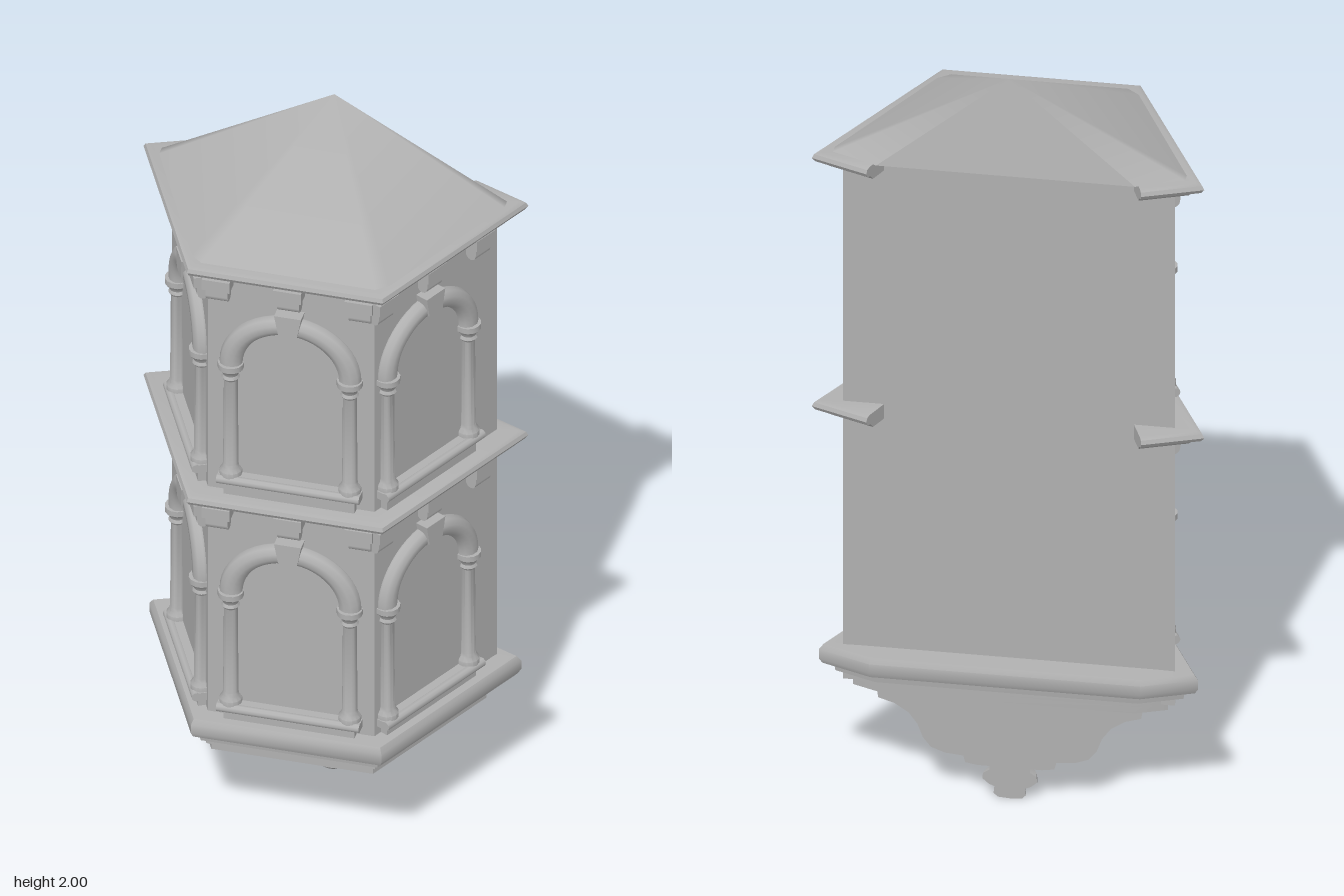
import * as THREE from 'three';
import { toCreasedNormals } from 'three/addons/utils/BufferGeometryUtils.js';

const stone = new THREE.MeshStandardMaterial({ color: 0xb0b0b0, side: THREE.DoubleSide });
stone.name = 'grey stone';

function add(parent, name, geometry, x = 0, y = 0, z = 0) {
  const mesh = new THREE.Mesh(geometry, stone);
  mesh.name = name;
  mesh.position.set(x, y, z);
  parent.add(mesh);
  return mesh;
}

// Bay outline, offset outwards from the wall by d, running from left-back to right-back
function bayPlan(d) {
  const half = [
    [0.317 + 0.38 * d, -0.22 - 0.924 * d],
    [0.403 + 1.37 * d, -0.184 - 0.517 * d],
    [0.21 + 0.623 * d, 0.21 + d],
  ];
  return [...half.map(([x, z]) => [-x, z]), ...half.reverse()];
}
const wallPlan = () => [[-0.41, -0.2], [-0.21, 0.21], [0.21, 0.21], [0.41, -0.2]];

// Sweeps a profile of [offset, height] around a plan; closed makes a solid slab, open an L-ended moulding
function sweep(plan, profile, closed) {
  const rings = profile.map(([d, y]) => plan(d).map(([x, z]) => [x, y, z]));
  const n = rings[0].length, m = rings.length, out = [];
  const tri = (...points) => points.forEach((p) => out.push(...p));
  for (let j = 0; j < (closed ? m - 1 : m); j++) {
    const lo = rings[j], hi = rings[(j + 1) % m];
    for (let i = 0; i < (closed ? n : n - 1); i++) {
      const k = (i + 1) % n;
      tri(lo[i], lo[k], hi[k]);
      tri(lo[i], hi[k], hi[i]);
    }
  }
  if (closed) {
    for (let i = 1; i < n - 1; i++) {
      tri(rings[0][0], rings[0][i + 1], rings[0][i]);
      tri(rings[m - 1][0], rings[m - 1][i], rings[m - 1][i + 1]);
    }
  } else {
    for (let j = 1; j < m - 1; j++) {
      tri(rings[0][0], rings[j][0], rings[j + 1][0]);
      tri(rings[0][n - 1], rings[j + 1][n - 1], rings[j][n - 1]);
    }
  }
  const geometry = new THREE.BufferGeometry();
  geometry.setAttribute('position', new THREE.Float32BufferAttribute(out, 3));
  return toCreasedNormals(geometry, 0.6);
}

// One arched window surround with sill, columns, keystone and corbels; y = 0 is the sill's underside
function archedWindow() {
  const g = new THREE.Group();
  g.name = 'archedWindow';
  add(g, 'sillBlock', new THREE.BoxGeometry(0.33, 0.045, 0.03), 0, -0.015, 0.005);
  add(g, 'sill', new THREE.BoxGeometry(0.36, 0.022, 0.06), 0, 0.017, 0);
  add(g, 'sillLip', new THREE.CylinderGeometry(0.012, 0.012, 0.36, 10), 0, 0.018, 0.027).rotation.z = Math.PI / 2;
  const columnProfile = [
    [0.028, 0.025], [0.028, 0.04], [0.021, 0.05], [0.019, 0.06], [0.017, 0.31],
    [0.023, 0.318], [0.019, 0.326], [0.022, 0.334], [0.032, 0.345], [0.032, 0.36], [0, 0.36],
  ].map(([r, y]) => new THREE.Vector2(r, y));
  const column = toCreasedNormals(new THREE.LatheGeometry(columnProfile, 14), 0.7);
  for (const s of [-1, 1]) add(g, 'column', column, s * 0.15, 0, 0.008);
  add(g, 'arch', new THREE.TorusGeometry(0.15, 0.029, 10, 24, Math.PI), 0, 0.36, 0.006).scale.set(1, 0.9, 0.85);
  // Keystone, wider at the top
  const wedge = new THREE.Shape([[-0.024, 0], [0.024, 0], [0.034, 0.055], [-0.034, 0.055]].map((p) => new THREE.Vector2(...p)));
  add(g, 'keystone', new THREE.ExtrudeGeometry(wedge, { depth: 0.035, bevelEnabled: false }), 0, 0.482, 0);
  for (const x of [-0.18, 0, 0.18]) {
    add(g, 'corbelCap', new THREE.BoxGeometry(0.07, 0.03, 0.045), x, 0.602, 0.018);
    add(g, 'corbel', new THREE.BoxGeometry(0.056, 0.022, 0.035), x, 0.577, 0.014);
    add(g, 'corbelScroll', new THREE.CylinderGeometry(0.016, 0.016, 0.056, 12), x, 0.564, 0.014).rotation.z = Math.PI / 2;
  }
  return g;
}

// Pyramid roof with clipped front corners and a steep back
function roofGeometry() {
  const half = [[0.32, -0.25], [0.437, -0.2], [0.437, -0.175], [0.25, 0.215], [0.22, 0.24]];
  const rim = [...half.map(([x, z]) => [-x, z]), ...half.reverse()];
  const points = [[0, 2, -0.2], ...rim.map(([x, z]) => [x, 1.757, z])];
  const index = [];
  for (let i = 1; i < rim.length; i++) index.push(0, i, i + 1);
  // Separate corners keep the back crisp
  const b = points.length;
  points.push(points[0], points[rim.length], points[1]);
  index.push(b, b + 1, b + 2);
  const geometry = new THREE.BufferGeometry();
  geometry.setAttribute('position', new THREE.Float32BufferAttribute(points.flat(), 3));
  geometry.setIndex(index);
  geometry.computeVertexNormals();
  return geometry;
}

export function createModel() {
  const model = new THREE.Group();
  model.name = 'orielTower';

  add(model, 'wall', sweep(wallPlan, [[0, 0.3], [0, 1.75]], true));
  add(model, 'roof', roofGeometry());

  // Cornices
  const cornice = [[-0.03, 0], [0.03, 0], [0.04, 0.012], [0.054, 0.016], [0.06, 0.026], [0.056, 0.036], [0.045, 0.04], [-0.03, 0.04]];
  for (const [name, y] of [['middleCornice', 1.03], ['topCornice', 1.718]]) {
    add(model, name, sweep(bayPlan, cornice.map(([d, h]) => [d, y + h]), false));
  }

  // Stepped base slab
  add(model, 'base', sweep(bayPlan, [
    [-0.01, 0.275], [-0.01, 0.295], [0.004, 0.3], [0.004, 0.312], [0.02, 0.318], [0.022, 0.335],
    [0.042, 0.342], [0.048, 0.355], [0.048, 0.38], [0.04, 0.394], [0, 0.396],
  ], true));

  // Arched windows on three faces and two storeys
  const faces = [[0, 0.21, 0], [0.293, 0.04, 1.115], [-0.293, 0.04, -1.115]];
  for (const y of [0.415, 1.1]) {
    for (const [x, z, turn] of faces) {
      const unit = archedWindow();
      unit.position.set(x, y, z);
      unit.rotation.y = turn;
      model.add(unit);
    }
  }

  // Faceted half console below, cut flat at the back
  const consoleProfile = [
    [0.08, 0.085], [0.11, 0.09], [0.115, 0.108], [0.16, 0.112], [0.195, 0.125], [0.215, 0.15],
    [0.228, 0.185], [0.25, 0.215], [0.285, 0.238], [0.325, 0.25], [0.33, 0.28],
  ];
  const pendantProfile = [
    [0, 0], [0.03, 0.002], [0.04, 0.012], [0.038, 0.03], [0.052, 0.036], [0.068, 0.05], [0.066, 0.065], [0.05, 0.075], [0.05, 0.09],
  ];
  const parts = [['console', consoleProfile, 5], ['pendant', pendantProfile, 12]];
  for (const [name, profile, sides] of parts) {
    const points = profile.map(([r, y]) => new THREE.Vector2(r, y));
    const lathe = new THREE.LatheGeometry(points, sides, -Math.PI / 2, Math.PI);
    add(model, name, toCreasedNormals(lathe, 0.6), 0, 0, -0.19);
    const mirrored = points.map((p) => new THREE.Vector2(-p.x, p.y)).reverse();
    const back = new THREE.ShapeGeometry(new THREE.Shape([...points, ...mirrored]));
    back.rotateY(Math.PI);
    add(model, name + 'Back', back, 0, 0, -0.19);
  }
  return model;
}
